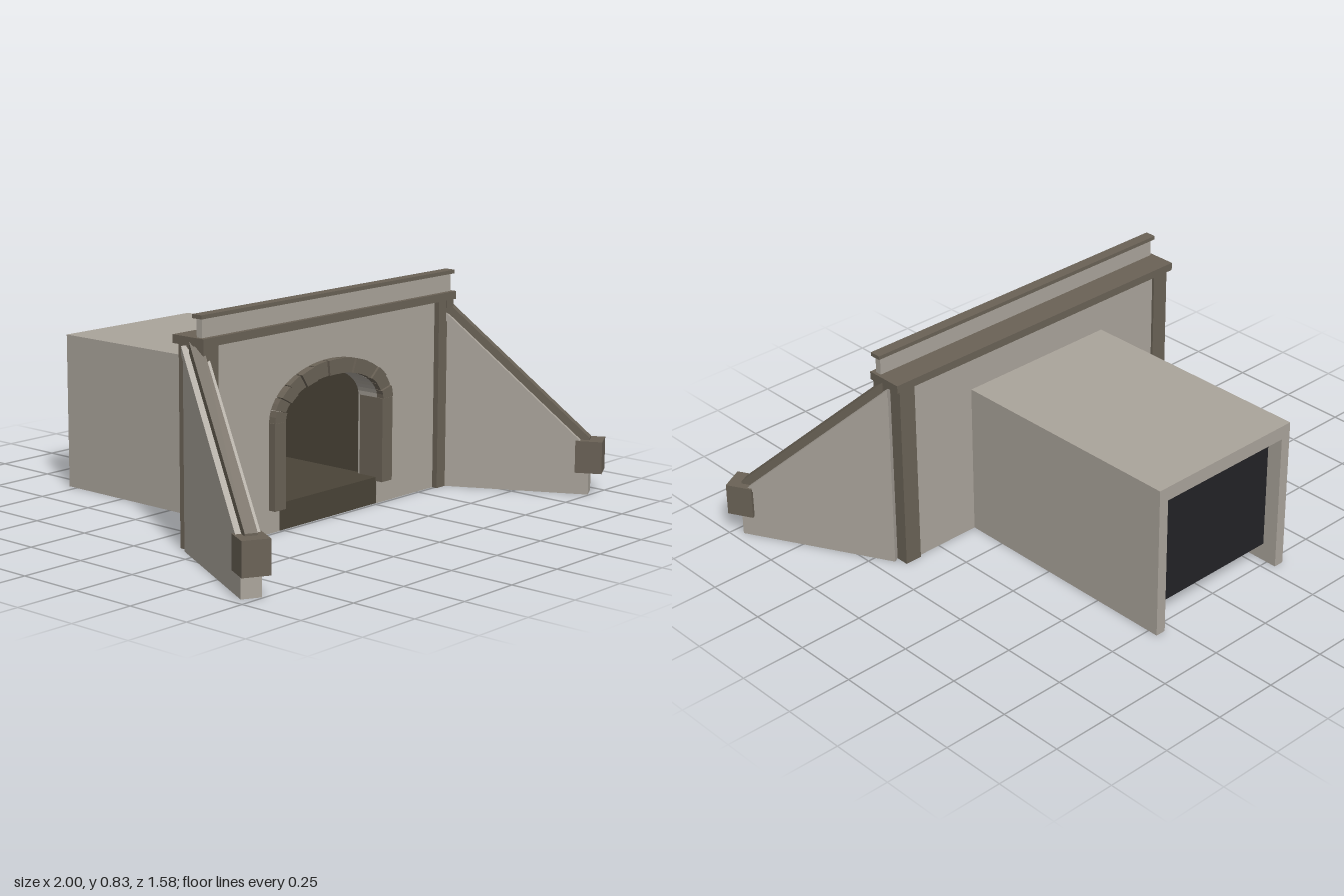
import * as THREE from 'three';

const mat = (color) => new THREE.MeshStandardMaterial({ color, flatShading: true });

export function createModel() {
  const root = new THREE.Group();
  const stone = mat(0xaaa49b), trim = mat(0x6a6256), floorMat = mat(0x4a4438), dark = mat(0x222226);

  const add = (parent, name, geometry, material) => {
    const mesh = new THREE.Mesh(geometry, material);
    mesh.name = name;
    parent.add(mesh);
    return mesh;
  };
  // Box given by its limits on each axis
  const box = (name, x0, x1, y0, y1, z0, z1, material, parent = root) => {
    const m = add(parent, name, new THREE.BoxGeometry(Math.abs(x1 - x0), y1 - y0, z1 - z0), material);
    m.position.set((x0 + x1) / 2, (y0 + y1) / 2, (z0 + z1) / 2);
    return m;
  };
  // Polygon extruded between two depths
  const slab = (name, points, z0, z1, material, parent = root) => {
    const shape = new THREE.Shape(points.map(([x, y]) => new THREE.Vector2(x, y)));
    const g = new THREE.ExtrudeGeometry(shape, { depth: z1 - z0, bevelEnabled: false });
    g.translate(0, 0, z0);
    return add(parent, name, g, material);
  };

  // Arch: flattened ellipse above the springing line
  const spring = 0.4, inner = [0.265, 0.13], outer = [0.32, 0.185], stones = 13;
  const arc = ([rx, ry], a) => [rx * Math.cos(a), spring + ry * Math.sin(a)];

  // Portal wall with the arched opening cut from its foot
  const opening = [];
  for (let i = 0; i <= stones * 2; i++) opening.push(arc(inner, Math.PI * (1 - i / (stones * 2))));
  slab('portalWall', [
    [-0.64, 0], [-0.265, 0], ...opening, [0.265, 0], [0.64, 0], [0.64, 0.72], [-0.64, 0.72],
  ], 0.15, 0.24, stone);

  // Arch stones with narrow joints, and the jambs
  for (let i = 0; i < stones; i++) {
    const a = Math.PI * (i + 0.03) / stones, b = Math.PI * (i + 0.97) / stones, mid = (a + b) / 2;
    slab('archStone', [
      arc(inner, a), arc(outer, a), arc(outer, mid), arc(outer, b), arc(inner, b), arc(inner, mid),
    ], 0.16, i % 2 ? 0.264 : 0.27, trim);
  }
  for (const s of [-1, 1]) box('archJamb', s * 0.263, s * 0.32, 0.085, spring, 0.16, 0.268, trim);
  box('sill', -0.265, 0.265, 0, 0.1, 0.15, 0.238, floorMat);

  // Cornice, parapet and its cap
  box('cornice', -0.68, 0.68, 0.72, 0.75, 0.13, 0.275, trim);
  box('parapet', -0.668, 0.668, 0.75, 0.816, 0.232, 0.257, stone);
  box('parapetCap', -0.68, 0.68, 0.816, 0.83, 0.223, 0.266, trim);

  // Tunnel body behind the portal, lined in a darker tone
  for (const s of [-1, 1]) {
    box('tunnelWall', s * 0.285, s * 0.325, 0, 0.535, -0.79, 0.15, stone);
    box('tunnelLining', s * 0.28, s * 0.286, 0.085, 0.535, -0.69, 0.15, floorMat);
  }
  box('tunnelRoof', -0.325, 0.325, 0.535, 0.588, -0.79, 0.15, stone);
  box('tunnelFloor', -0.285, 0.285, 0.085, 0.1, -0.725, 0.15, floorMat);
  box('tunnelEnd', -0.285, 0.285, 0.07, 0.535, -0.73, -0.69, dark);

  // Corner pilasters and splayed wing walls
  const length = 0.6, half = 0.0365, rise = 0.9, top = 0.165;
  // Sloping strip along the top of a wing wall, up to distance end
  const strip = (y0, y1, end) => [[0, y0], [end, y0 + rise * end], [end, y1 + rise * end], [0, y1]];
  for (const s of [-1, 1]) {
    box('pilaster', s * 0.595, s * 0.662, 0, 0.72, 0.14, 0.262, trim);
    box('pilasterCap', s * 0.635, s * 0.674, 0.69, 0.72, 0.19, 0.268, trim);

    // Local x runs from the outer end back to the portal
    const wing = new THREE.Group();
    wing.name = s > 0 ? 'leftWing' : 'rightWing';
    wing.position.set(s * 0.932, 0, 0.727);
    wing.rotation.y = Math.atan2(0.883, -s * 0.469);
    root.add(wing);
    slab('wingWall', [[0, 0], [length, 0], [length, top + rise * length], [0, top]], -half, half, stone, wing);
    slab('wingLedge', strip(top - 0.018, top + 0.012, length), -0.043, 0.043, stone, wing);
    // Coping stops under the cornice
    slab('wingCoping', strip(top + 0.012, top + 0.05, 0.575), -0.022, 0.022, trim, wing);
    box('endBlock', -0.05, 0.05, 0.085, 0.207, -0.05, 0.05, trim, wing);
  }
  return root;
}
